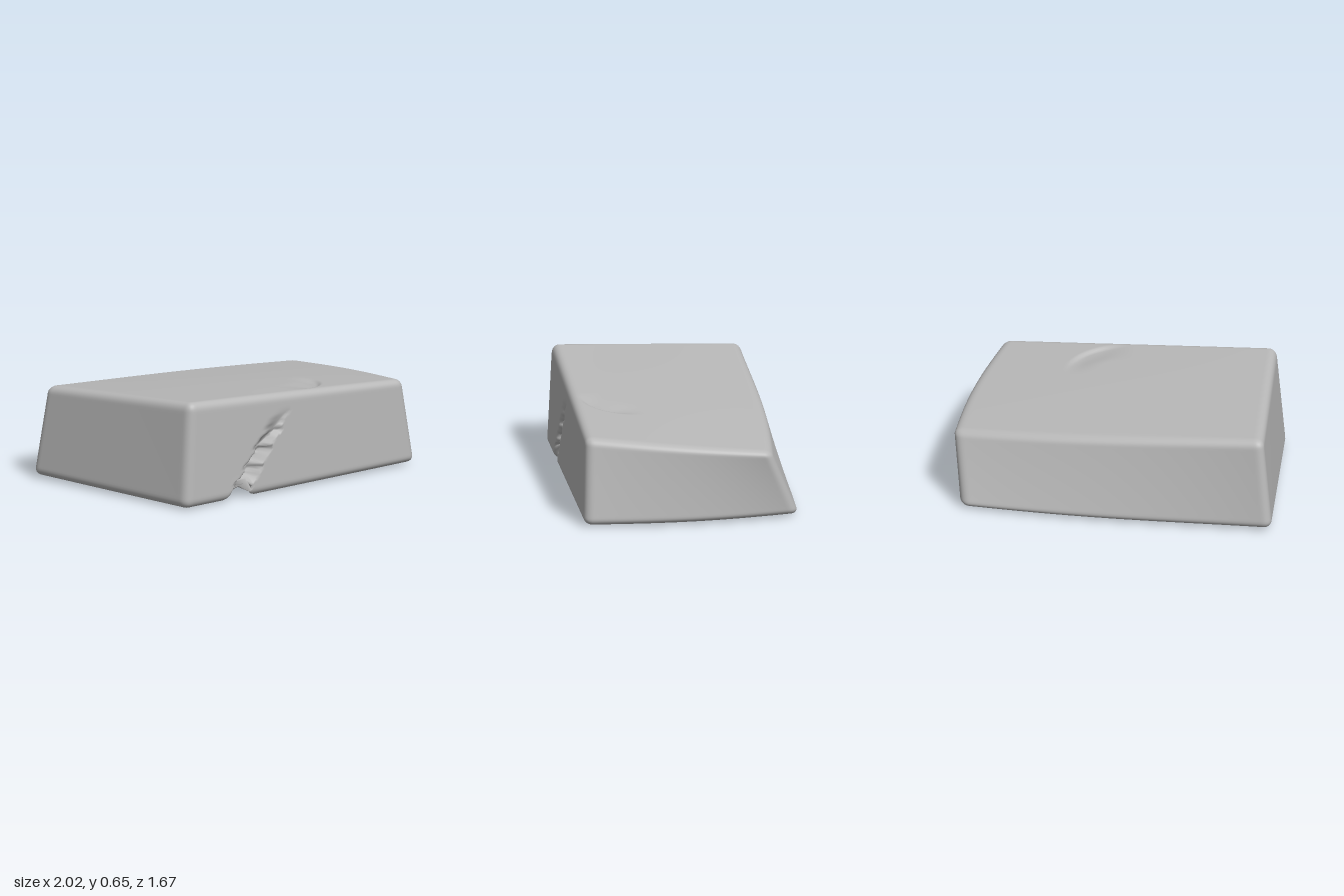
import * as THREE from 'three';
import { mergeVertices } from 'three/addons/utils/BufferGeometryUtils.js';

const { lerp, smoothstep, clamp } = THREE.MathUtils;

// Corners of the slab as [x, y, z]: back left, back right, front left, front right
const BOTTOM = [[-0.88, 0.015, -0.85], [0.98, 0.01, -0.45], [-1.02, 0.005, 0.4], [0.74, 0.01, 0.85]];
const TOP = [[-0.83, 0.57, -0.78], [1.02, 0.43, -0.25], [-0.96, 0.655, 0.39], [0.66, 0.535, 0.81]];

const bilinear = (c, u, w, k) => lerp(lerp(c[0][k], c[1][k], u), lerp(c[2][k], c[3][k], u), w);

// Push a box point onto a box with rounded edges
function roundEdges(p, half, radius) {
  const inner = new THREE.Vector3(...half).subScalar(radius);
  const core = p.clone().clamp(inner.clone().negate(), inner);
  const out = p.clone().sub(core);
  if (out.lengthSq() > 0) p.copy(core).add(out.setLength(radius));
}

// Skew the rounded box into the irregular slab
function skew(p, half) {
  const u = p.x / half[0] / 2 + 0.5, v = p.y / half[1] / 2 + 0.5, w = p.z / half[2] / 2 + 0.5;
  const at = k => lerp(bilinear(BOTTOM, u, w, k), bilinear(TOP, u, w, k), v);
  p.set(at(0), at(1), at(2));
  p.z -= 0.035 * Math.sin(Math.PI * Math.pow(u, 1.3)) * (1 - w);   // bowed back
  p.x += 0.06 * Math.sin(Math.PI * w) * u * u * (1 - 0.4 * v);     // bowed end
  p.y += 0.012 * Math.sin(Math.PI * w) * Math.sin(Math.PI * u) * (2 * v - 1);
  return { u, v, w };
}

// Diagonal crack up the front face, with a sharp right-hand lip
function crackFront(p, w) {
  const jag = 0.012 * Math.sin(p.y * 55) + 0.008 * Math.sin(p.y * 121);
  const s = p.x - (-0.55 + (p.y - 0.04) * 0.72 + jag);
  const profile = s < 0 ? smoothstep(s, -0.13, -0.02) : 1 - smoothstep(s, 0, 0.012);
  const fade = 1 - smoothstep(p.y, 0.2, 0.52);
  p.z -= 0.09 * profile * fade * smoothstep(w, 0.85, 0.98);
}

// The crack carries on under the slab as a tapering scoop
function scoopBottom(p, v) {
  const dx = p.x + 0.57, dz = p.z - 0.5;
  const t = (dx * 0.967 - dz * 0.256) / 0.9;
  const q = dx * 0.256 + dz * 0.967;
  const profile = q < 0 ? smoothstep(q, -0.15, -0.02) : 1 - smoothstep(q, 0, 0.03);
  const fade = clamp(1 - t, 0, 1) * smoothstep(t, -0.14, 0);
  p.y += 0.08 * profile * fade * (1 - smoothstep(v, 0.02, 0.25));
}

// Shallow curved chip on the top near the front
function chipTop(p, v) {
  const r = Math.hypot(p.x - 0.02, p.z - 0.28);
  const along = smoothstep(p.x, -0.1, 0.1) * (1 - smoothstep(p.x, 0.2, 0.36));
  const front = smoothstep(p.z, 0.25, 0.45);
  const profile = smoothstep(r, 0.1, 0.27) * (1 - smoothstep(r, 0.28, 0.31));
  p.y -= 0.016 * profile * along * front * smoothstep(v, 0.85, 0.97);
}

function slabGeometry() {
  const half = [0.9, 0.3, 0.62];
  let geo = new THREE.BoxGeometry(1.8, 0.6, 1.24, 120, 44, 84);
  geo.deleteAttribute('uv');
  geo.deleteAttribute('normal');
  geo = mergeVertices(geo, 1e-4);
  const pos = geo.attributes.position;
  const p = new THREE.Vector3();
  for (let i = 0; i < pos.count; i++) {
    p.fromBufferAttribute(pos, i);
    roundEdges(p, half, 0.05);
    const { v, w } = skew(p, half);
    crackFront(p, w);
    scoopBottom(p, v);
    chipTop(p, v);
    pos.setXYZ(i, p.x, p.y, p.z);
  }
  // Stand on the ground, centred
  geo.computeBoundingBox();
  const b = geo.boundingBox;
  geo.translate(-(b.min.x + b.max.x) / 2, -b.min.y, -(b.min.z + b.max.z) / 2);
  geo.computeVertexNormals();
  return geo;
}

export function createModel() {
  const group = new THREE.Group();
  group.name = 'rock';
  const stone = new THREE.MeshStandardMaterial({ color: 0xb8b8b8 });
  stone.name = 'stone grey';
  const slab = new THREE.Mesh(slabGeometry(), stone);
  slab.name = 'stoneSlab';
  group.add(slab);
  return group;
}
